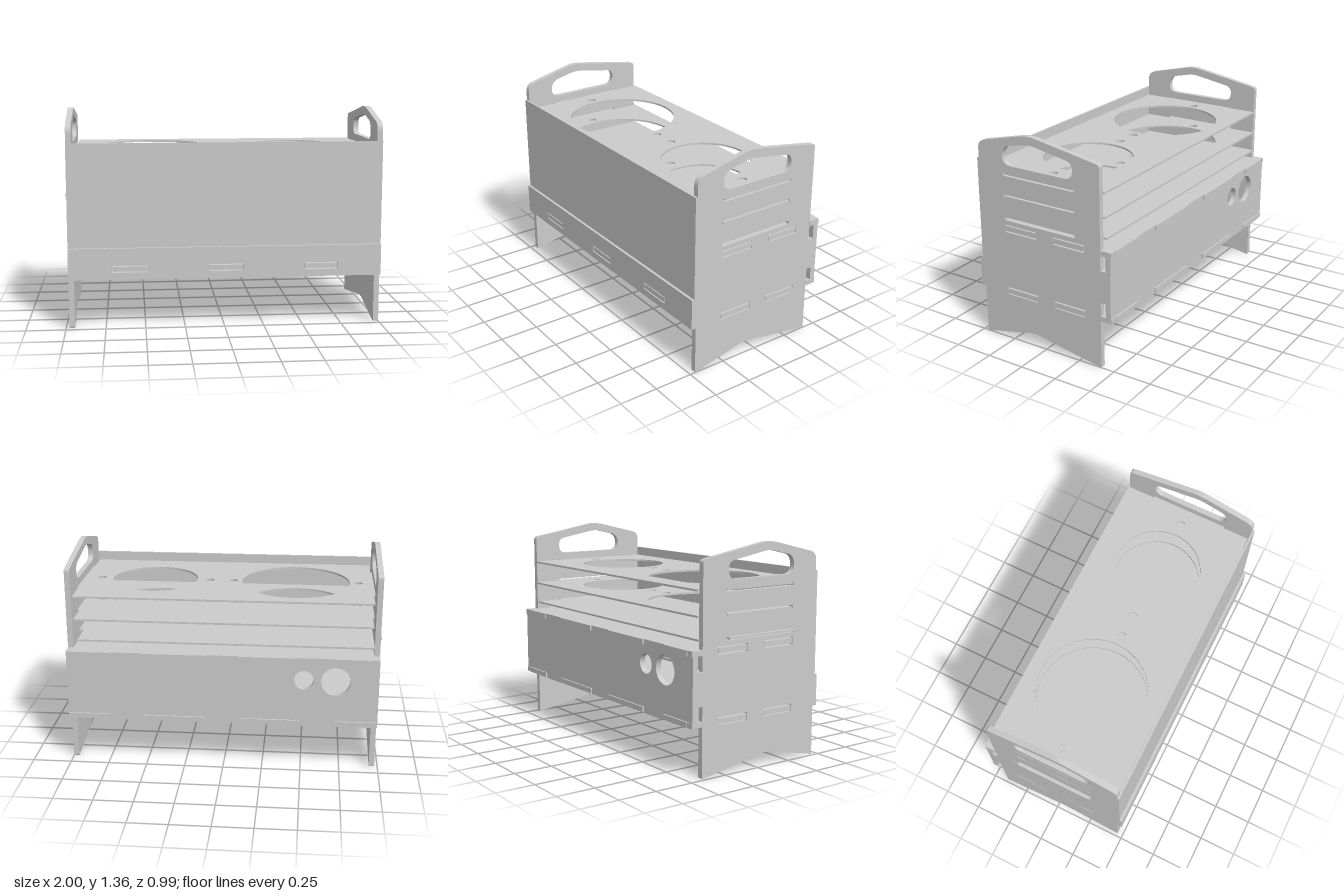
import * as THREE from 'three';

const material = new THREE.MeshStandardMaterial({ color: 0xcccccc, side: THREE.DoubleSide });
const HALF = 0.99;      // outer half width
const INNER = 0.955;    // half width between the side panels
const THICK = 0.033;    // thick sheet
const THIN = 0.012;     // thin sheet

const toShape = (pts) => new THREE.Shape(pts.map(([a, b]) => new THREE.Vector2(a, b)));
const rect = (a0, a1, b0, b1) => [[a0, b0], [a1, b0], [a1, b1], [a0, b1]];

// Completes an outline from its +x half, listed from one point on the axis to the other
const mirrored = (half) => half.concat(half.slice().reverse().map(([x, v]) => [-x, v]));

function circle(x, y, r) {
  const path = new THREE.Path();
  path.absarc(x, y, r, 0, Math.PI * 2, true);
  return path;
}

// Polygon with rounded corners; each point is [a, b, radius]
function rounded(pts) {
  const shape = new THREE.Shape();
  pts.forEach(([a, b, r = 0], i) => {
    const p = new THREE.Vector2(a, b);
    const [pa, pb] = pts[(i + pts.length - 1) % pts.length];
    const [na, nb] = pts[(i + 1) % pts.length];
    const from = new THREE.Vector2(pa, pb).sub(p).setLength(r).add(p);
    const to = new THREE.Vector2(na, nb).sub(p).setLength(r).add(p);
    if (i === 0) shape.moveTo(from.x, from.y);
    else shape.lineTo(from.x, from.y);
    if (r > 0) shape.quadraticCurveTo(a, b, to.x, to.y);
  });
  shape.closePath();
  return shape;
}

function sheet(name, shape, depth, holes = []) {
  shape.holes.push(...holes);
  const geometry = new THREE.ExtrudeGeometry(shape, { depth, bevelEnabled: false, curveSegments: 32 });
  const mesh = new THREE.Mesh(geometry, material);
  mesh.name = name;
  return mesh;
}

// Horizontal sheet: outline in (x, z), hanging down from its top height
function flat(name, shape, top, depth, holes) {
  const mesh = sheet(name, shape, depth, holes);
  mesh.rotation.x = Math.PI / 2;
  mesh.position.y = top;
  return mesh;
}

// Side panel: outline in (z, y), with handle, slots and a rear tab
function sidePanel(name, outerX) {
  const outline = rounded([
    [0.465, 0, 0.01], [0.465, 1.28, 0.05], [0.09, 1.371, 0.06], [-0.41, 1.285, 0.02],
    [-0.41, 0.64], [-0.48, 0.64], [-0.48, 0.435], [-0.41, 0.435],
    [-0.41, 0, 0.01], [0.09, 0.086, 0.05],
  ]);
  const handle = rounded([
    [0.29, 1.16, 0.07], [0.275, 1.274, 0.05], [0.085, 1.317, 0.04],
    [-0.225, 1.264, 0.045], [-0.225, 1.16, 0.06],
  ]);
  const holes = [handle];
  for (const y of [1.09, 0.949, 0.804]) holes.push(toShape(rect(-0.232, 0.282, y, y + 0.022)));
  for (const y of [0.727, 0.307]) {
    for (const [z0, z1] of [[0.055, 0.28], [-0.295, -0.075]]) {
      holes.push(toShape(rect(z0 - 0.002, z1 + 0.002, y, y + 0.048)));
    }
  }
  const mesh = sheet(name, outline, 0.035, holes);
  mesh.rotation.y = -Math.PI / 2;
  mesh.position.x = outerX;
  return mesh;
}

// Thin shelf with one tab through each side panel
function shelf(name, top, holes) {
  const half = [
    [0, 0.455], [0.945, 0.455], [0.945, 0.275], [HALF, 0.275],
    [HALF, -0.228], [0.945, -0.228], [0.945, -0.415], [0, -0.415],
  ];
  return flat(name, toShape(mirrored(half)), top, THIN, holes);
}

// Thick box plate with side tabs and notches along the back
function boxPlate(name, top) {
  const half = [
    [0, 0.455], [INNER, 0.455],
    [INNER, 0.28], [HALF, 0.28], [HALF, 0.055], [INNER, 0.055],
    [INNER, -0.075], [HALF, -0.075], [HALF, -0.295], [INNER, -0.295],
    [INNER, -0.412], [HALF, -0.412], [HALF, -0.485], [0.945, -0.485], [0.945, -0.49],
    [0.71, -0.49], [0.71, -0.445], [0.5, -0.445], [0.5, -0.49],
    [0.105, -0.49], [0.105, -0.445], [0, -0.445],
  ];
  return flat(name, toShape(mirrored(half)), top, THICK);
}

export function createModel() {
  const model = new THREE.Group();
  const rack = new THREE.Group();
  rack.name = 'rack';
  rack.position.x = 0.01;
  model.add(rack);

  // Side panels
  rack.add(sidePanel('leftSidePanel', HALF), sidePanel('rightSidePanel', -INNER));

  // Shelves: two with container openings, one solid and slid slightly sideways
  const openings = () => [
    circle(-0.45, 0.02, 0.352), circle(0.48, 0.02, 0.28),
    ...[-0.855, -0.038, 0.118, 0.84].map((x) => circle(x, 0.02, 0.028)),
  ];
  rack.add(shelf('topShelf', 1.112, openings()), shelf('middleShelf', 0.961, openings()));
  const lowShelf = shelf('lowerShelf', 0.825, []);
  lowShelf.position.x = -0.02;
  rack.add(lowShelf);

  // Box lid and floor
  rack.add(boxPlate('boxLid', 0.768), boxPlate('boxFloor', 0.346));

  // Back panel with edge tabs, end notches and two round ports
  const low = 0.346, high = 0.735, lowTab = 0.307, highTab = 0.768;
  const backHalf = [
    [0, lowTab], [0.105, lowTab], [0.105, low], [0.5, low], [0.5, lowTab], [0.71, lowTab], [0.71, low],
    [HALF, low], [HALF, 0.435], [INNER, 0.435], [INNER, 0.64], [HALF, 0.64], [HALF, high],
    [0.71, high], [0.71, highTab], [0.5, highTab], [0.5, high], [0.105, high], [0.105, highTab], [0, highTab],
  ];
  const back = sheet('backPanel', toShape(mirrored(backHalf)), 0.035,
    [circle(-0.52, 0.62, 0.062), circle(-0.72, 0.615, 0.093)]);
  back.position.z = -0.48;
  rack.add(back);

  // Front sheet and lower strip, slotted for the tabs
  const slots = () => [-0.61, 0, 0.605].map((x) => toShape(rect(x - 0.108, x + 0.108, 0.36, 0.405)));
  const front = sheet('frontPanel', toShape(rect(-HALF, HALF, 0.315, 1.17)), 0.013, slots());
  front.position.z = 0.465;
  const strip = sheet('frontStrip', toShape(rect(-HALF, HALF, 0.315, 0.515)), 0.017, slots());
  strip.position.z = 0.478;
  rack.add(front, strip);
  for (const x of [-0.61, 0, 0.605]) {
    const tab = new THREE.Mesh(new THREE.BoxGeometry(0.21, 0.031, 0.035), material);
    tab.name = 'frontTab';
    tab.position.set(x, 0.3825, 0.4765);
    rack.add(tab);
  }
  return model;
}
